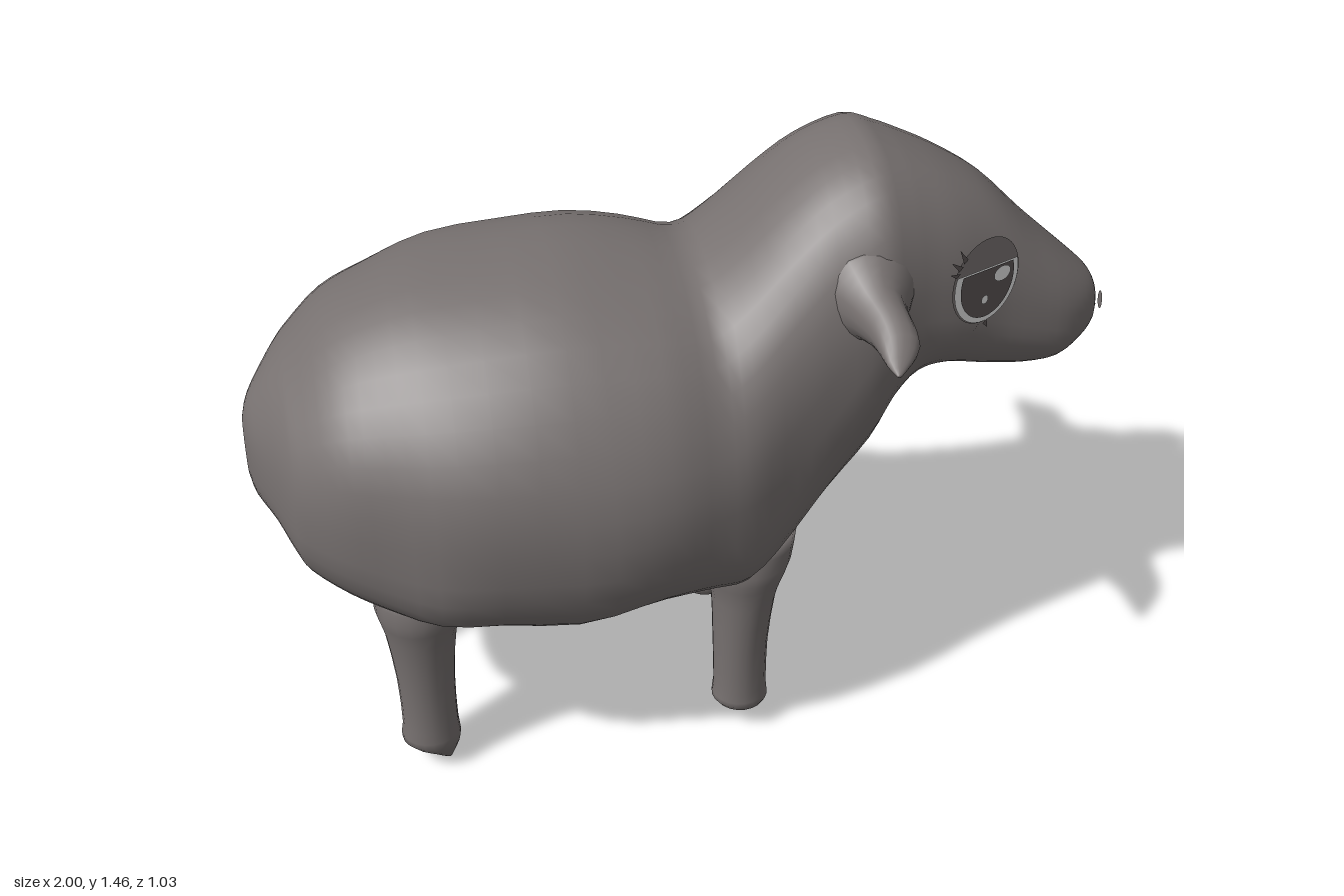
import * as THREE from 'three';

const mat = (name, color, side = THREE.FrontSide) =>
  Object.assign(new THREE.MeshStandardMaterial({ color, side }), { name });

// Smooth closed skin through rings of points, capped at both ends
function skin(rings) {
  const n = rings[0].length, pos = [], idx = [];
  rings.flat().forEach(p => pos.push(p.x, p.y, p.z));
  const cap = ring => {
    const c = new THREE.Vector3();
    ring.forEach(p => c.addScaledVector(p, 1 / n));
    pos.push(c.x, c.y, c.z);
    return pos.length / 3 - 1;
  };
  const last = (rings.length - 1) * n;
  const c0 = cap(rings[0]), c1 = cap(rings[rings.length - 1]);
  for (let j = 0; j < n; j++) {
    const k = (j + 1) % n;
    for (let i = 0; i < last; i += n)
      idx.push(i + j, i + n + j, i + k, i + k, i + n + j, i + n + k);
    idx.push(c0, j, k, c1, last + k, last + j);
  }
  const g = new THREE.BufferGeometry();
  g.setAttribute('position', new THREE.Float32BufferAttribute(pos, 3));
  g.setIndex(idx);
  g.computeVertexNormals();
  return g;
}

// Catmull-Rom subdivision of rows of section numbers
function refine(rows, steps) {
  const out = [], at = i => rows[Math.min(Math.max(i, 0), rows.length - 1)];
  for (let i = 0; i < rows.length - 1; i++)
    for (let s = 0; s < steps; s++) {
      const t = s / steps;
      out.push(rows[i].map((b, k) => {
        const a = at(i - 1)[k], c = at(i + 1)[k], d = at(i + 2)[k];
        return b + 0.5 * t * (c - a + t * (2 * a - 5 * b + 4 * c - d + t * (3 * (b - c) + d - a)));
      }));
    }
  out.push(rows[rows.length - 1]);
  return out;
}

const angles = n => Array.from({ length: n }, (_, j) => (j / n) * Math.PI * 2);

// Rump, body, neck and head: x, bottom, top, half width, height of widest point
const TORSO = [
  [-1.0, 0.73, 0.87, 0.04, 0.8], [-0.985, 0.685, 0.92, 0.1, 0.8], [-0.945, 0.645, 0.98, 0.19, 0.79],
  [-0.91, 0.58, 1.02, 0.265, 0.78], [-0.88, 0.53, 1.05, 0.305, 0.78],
  [-0.8, 0.48, 1.125, 0.37, 0.78], [-0.7, 0.45, 1.175, 0.42, 0.77], [-0.55, 0.41, 1.22, 0.48, 0.77],
  [-0.3, 0.39, 1.245, 0.508, 0.76], [-0.1, 0.42, 1.225, 0.485, 0.76], [0.02, 0.43, 1.2, 0.445, 0.77],
  [0.1, 0.44, 1.25, 0.415, 0.78], [0.2, 0.51, 1.345, 0.365, 0.83], [0.3, 0.6, 1.42, 0.33, 0.94],
  [0.4, 0.69, 1.455, 0.308, 1.07], [0.46, 0.8, 1.44, 0.28, 1.1], [0.52, 0.87, 1.415, 0.255, 1.1],
  [0.6, 0.882, 1.375, 0.23, 1.08], [0.7, 0.855, 1.31, 0.193, 1.04], [0.8, 0.84, 1.21, 0.17, 1.0],
  [0.88, 0.845, 1.135, 0.148, 0.97], [0.94, 0.88, 1.08, 0.112, 0.97], [0.975, 0.915, 1.045, 0.075, 0.97],
  [0.99, 0.95, 1.01, 0.035, 0.98],
];
function torso() {
  const { smoothstep } = THREE.MathUtils;
  const near = (x, c) => Math.exp(-(((x - c) / 0.13) ** 2));
  return skin(refine(TORSO, 3).map(([x, lo, hi, w, mid]) => {
    // Roundness above and below; squarer below over the shoulders and thighs
    const up = 0.98 - 0.16 * smoothstep(x, 0.0, 0.3);
    const down = 0.8 + 0.1 * smoothstep(x, 0.25, 0.5) - 0.2 * near(x, 0.13) - 0.1 * near(x, -0.65);
    const lump = 0.012 * smoothstep(0.2 - x, 0, 0.3);
    return angles(40).map(a => {
      const c = Math.cos(a), s = Math.sin(a), e = s > 0 ? up : down;
      const wool = 1 + lump * Math.sin(11 * x + 2 * a) * Math.sin(7 * x - 5 * a);
      const y = Math.sign(s) * Math.abs(s) ** e * (s > 0 ? hi - mid : mid - lo);
      const z = Math.sign(c) * Math.abs(c) ** e * w;
      return new THREE.Vector3(x, mid + y * wool, z * wool);
    });
  }));
}

// Legs: y, centre x, outward shift, radius x, radius z
const FRONT_LEG = [
  [0.58, 0.125, -0.01, 0.11, 0.1], [0.5, 0.118, 0.0, 0.103, 0.102], [0.45, 0.113, 0.0, 0.09, 0.095],
  [0.39, 0.11, 0.0, 0.076, 0.086], [0.25, 0.105, 0.0, 0.066, 0.073], [0.12, 0.105, 0.005, 0.064, 0.064],
  [0.08, 0.105, 0.005, 0.068, 0.066], [0.055, 0.11, 0.0, 0.05, 0.05], [0.045, 0.115, 0.0, 0.03, 0.03],
];
const BACK_LEG = [
  [0.53, -0.645, -0.01, 0.11, 0.1], [0.47, -0.65, 0.0, 0.104, 0.1], [0.4, -0.652, 0.0, 0.084, 0.085],
  [0.25, -0.65, 0.0, 0.068, 0.07], [0.12, -0.648, 0.005, 0.066, 0.064], [0.075, -0.648, 0.005, 0.07, 0.066],
  [0.04, -0.63, 0.008, 0.042, 0.042], [0.0, -0.612, 0.01, 0.008, 0.008],
];
const leg = (rows, side) => skin(refine(rows, 2).map(([y, cx, out, rx, rz]) => angles(20).map(a =>
  new THREE.Vector3(cx + rx * Math.cos(a), y, 0.012 + side * (0.225 + out) - rz * Math.sin(a)))));

// Ears: distance from the middle, centre x, centre y, radius x, radius y
const EAR = [
  [0.25, 0.37, 1.19, 0.11, 0.115], [0.29, 0.37, 1.187, 0.088, 0.095],
  [0.33, 0.372, 1.183, 0.062, 0.07], [0.39, 0.385, 1.176, 0.05, 0.052], [0.44, 0.39, 1.165, 0.045, 0.035],
  [0.48, 0.38, 1.153, 0.028, 0.016], [0.515, 0.37, 1.145, 0.005, 0.004],
];
const ear = side => skin(refine(EAR, 2).map(([z, cx, cy, rx, ry]) => angles(18).map(a =>
  new THREE.Vector3(cx + rx * Math.cos(a), cy - side * ry * Math.sin(a), side * z))));

// Flat ellipse cut off above a given height
function ellipse(rx, ry, cut = ry) {
  const a = Math.asin(Math.min(1, cut / ry));
  const shape = new THREE.Shape();
  shape.absellipse(0, 0, rx, ry, Math.PI - a, Math.PI * 2 + a, false, 0);
  return new THREE.ShapeGeometry(shape, 24);
}

export function createModel() {
  const model = new THREE.Group();
  model.name = 'sheep';
  const wool = mat('wool grey', 0x777170);
  const plate = mat('lid grey', 0x777170, THREE.DoubleSide);
  const white = mat('eye white', 0xe4e4e4, THREE.DoubleSide);
  const dark = mat('iris dark', 0x5a5454, THREE.DoubleSide);
  const pale = mat('iris pale', 0xd6d6d6, THREE.DoubleSide);
  const add = (parent, name, geo, material, x = 0, y = 0, z = 0) => {
    const m = new THREE.Mesh(geo, material);
    m.name = name;
    m.position.set(x, y, z);
    parent.add(m);
    return m;
  };

  add(model, 'bodyAndHead', torso(), wool);

  for (const side of [1, -1]) {
    const label = side > 0 ? 'Near' : 'Far';
    add(model, 'frontLeg' + label, leg(FRONT_LEG, side), wool);
    add(model, 'backLeg' + label, leg(BACK_LEG, side), wool);
    add(model, 'ear' + label, ear(side), wool);

    // Eye: stacked thin plates, local x pointing to the muzzle times side
    const eye = new THREE.Group();
    eye.name = 'eye' + label;
    eye.position.set(0.647, 1.174, side * 0.222);
    eye.rotation.y = side > 0 ? 0.415 : Math.PI - 0.415;
    model.add(eye);
    add(eye, 'eyelid', ellipse(0.096, 0.107), plate);
    add(eye, 'eyeWhite', ellipse(0.092, 0.104, 0.034), white, 0, 0, 0.003);
    add(eye, 'iris', ellipse(0.077, 0.09, 0.032), side > 0 ? dark : pale, 0, 0, 0.006);
    add(eye, 'largeGlint', ellipse(0.024, 0.019), white, side * 0.04, 0.01, 0.009);
    add(eye, 'smallGlint', ellipse(0.01, 0.011), white, side * -0.006, -0.043, 0.009);
    // Lashes at the rear corner and below
    for (const [x, y, dx, dy] of [[-0.085, 0.04, -0.025, 0.01], [-0.078, 0.055, -0.03, 0.025],
      [-0.066, 0.07, -0.02, 0.035], [-0.01, -0.104, -0.02, -0.02], [0.005, -0.105, 0.01, -0.02]]) {
      const tri = new THREE.Shape([[x - 0.005, y - 0.005], [x + 0.006, y + 0.004], [x + dx, y + dy]]
        .map(([u, v]) => new THREE.Vector2(side * u, v)));
      add(eye, 'lash', new THREE.ShapeGeometry(tri), dark, 0, 0, 0.003);
    }

    // Nostril plate
    add(model, 'nostril' + label, ellipse(0.013, 0.023), plate, 0.992, 0.99, 0.012 + side * 0.05)
      .rotation.y = Math.PI / 2;
  }

  // Mouth strip on the muzzle
  add(model, 'mouth', new THREE.BoxGeometry(0.008, 0.115, 0.03), wool, 0.972, 0.905, 0.012).rotation.z = -0.4;
  return model;
}
